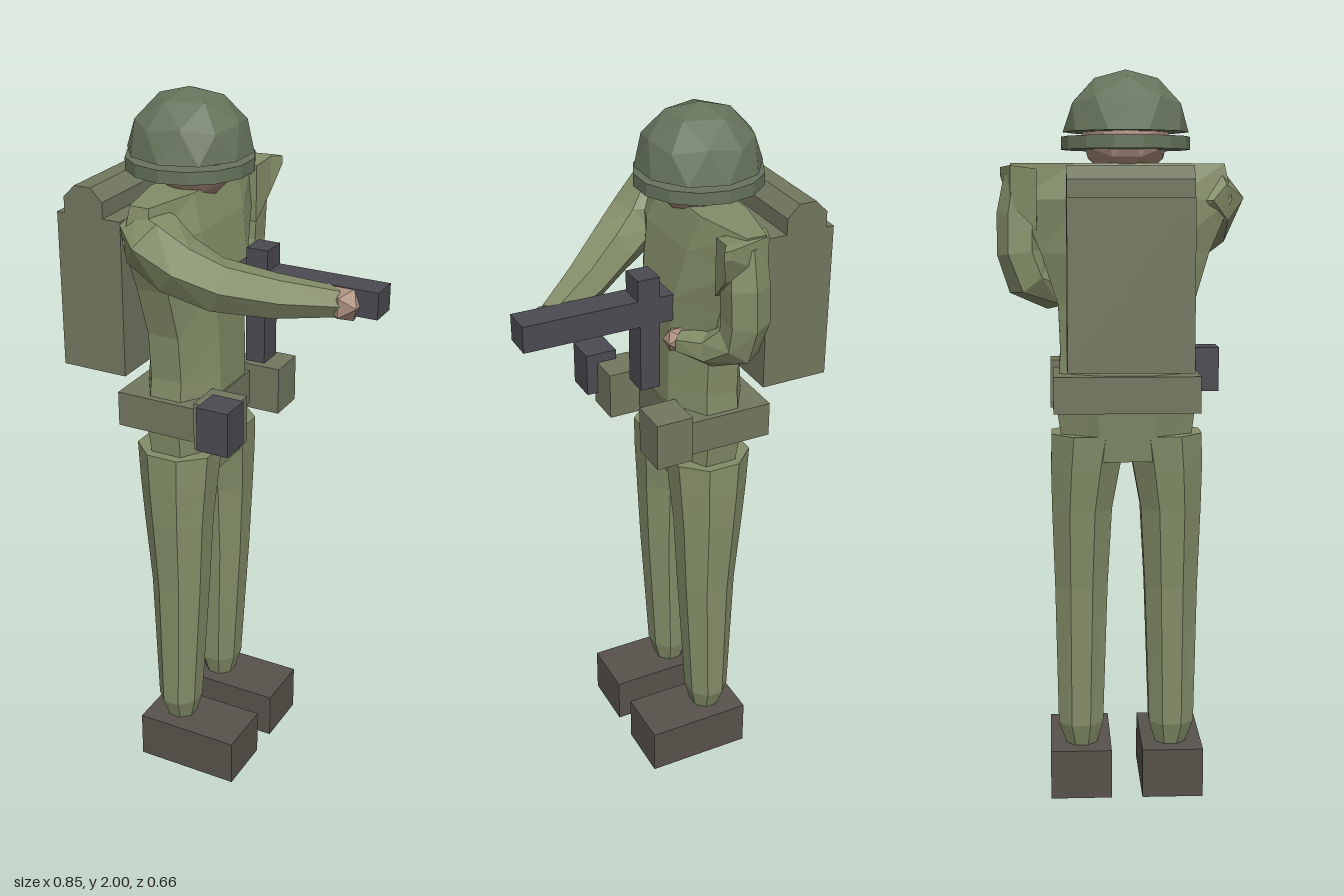
import * as THREE from 'three';

const V = (x, y, z) => new THREE.Vector3(x, y, z);
const mat = (color) => new THREE.MeshStandardMaterial({ color, flatShading: true });
const cloth = mat(0x838d68), canvas = mat(0x72775f), helmetGreen = mat(0x66735c);
const skin = mat(0xa98c7b), metal = mat(0x4b4a51), leather = mat(0x57524a);

// Skin a list of vertex rings, closing both ends
function loft(rings) {
  const n = rings[0].length, pos = [], idx = [];
  rings.forEach((r) => r.forEach((p) => pos.push(p.x, p.y, p.z)));
  for (let i = 0; i < rings.length - 1; i++) {
    for (let j = 0; j < n; j++) {
      const a = i * n + j, b = i * n + (j + 1) % n;
      idx.push(a, a + n, b, b, a + n, b + n);
    }
  }
  const top = (rings.length - 1) * n;
  for (let j = 1; j < n - 1; j++) {
    idx.push(0, j, j + 1, top, top + j + 1, top + j);
  }
  const g = new THREE.BufferGeometry();
  g.setAttribute('position', new THREE.Float32BufferAttribute(pos, 3));
  g.setIndex(idx);
  const flat = g.toNonIndexed();
  flat.computeVertexNormals();
  return flat;
}

// Octagonal ring about c spanned by u and v
function ring(c, u, v, n = 8) {
  return Array.from({ length: n }, (_, j) => {
    const a = ((j + 0.5) / n) * Math.PI * 2, k = 1 / Math.cos(Math.PI / n);
    return c.clone().addScaledVector(u, Math.cos(a) * k).addScaledVector(v, Math.sin(a) * k);
  });
}

// Upright body: rows of [y, xMin, xMax, zMin, zMax]
const upright = (rows) => loft(rows.map(([y, x0, x1, z0, z1]) =>
  ring(V((x0 + x1) / 2, y, (z0 + z1) / 2), V((x1 - x0) / 2, 0, 0), V(0, 0, (z1 - z0) / 2))));

// Limb along a path: rows of [x, y, z, radius]
function limb(rows, ref) {
  const pts = rows.map((r) => V(r[0], r[1], r[2]));
  return loft(pts.map((p, i) => {
    const t = pts[Math.min(i + 1, pts.length - 1)].clone().sub(pts[Math.max(i - 1, 0)]).normalize();
    const u = ref.clone().addScaledVector(t, -ref.dot(t)).normalize();
    const v = u.clone().cross(t);
    return ring(p, u.multiplyScalar(rows[i][3]), v.multiplyScalar(rows[i][3]), 6);
  }));
}

export function createModel() {
  const model = new THREE.Group();
  const add = (name, geo, material, x = 0, y = 0, z = 0) => {
    const m = new THREE.Mesh(geo, material);
    m.name = name;
    m.position.set(x, y, z);
    model.add(m);
    return m;
  };
  const box = (name, material, x0, x1, y0, y1, z0, z1) =>
    add(name, new THREE.BoxGeometry(x1 - x0, y1 - y0, z1 - z0), material,
      (x0 + x1) / 2, (y0 + y1) / 2, (z0 + z1) / 2);

  // Legs and boots, mirrored about the body's centre plane
  const mid = 0.02;
  for (const s of [1, -1]) {
    const side = s > 0 ? 'back' : 'front';
    const rows = [
      [0.13, -0.135, -0.055, 0.085, 0.165],
      [0.2, -0.155, -0.037, 0.065, 0.19],
      [0.6, -0.168, -0.012, 0.052, 0.198],
      [0.82, -0.188, -0.002, 0.04, 0.205],
      [0.93, -0.2, 0.005, 0.02, 0.207],
      [1.03, -0.21, 0.01, 0, 0.205],
    ].map(([y, x0, x1, a, b]) => [y, x0, x1, mid + (s > 0 ? a : -b), mid + (s > 0 ? b : -a)]);
    add(s > 0 ? 'nearLeg' : 'farLeg', upright(rows), cloth);
    const zc = mid + s * 0.128;
    box(side === 'back' ? 'nearBoot' : 'farBoot', leather, -0.185, 0.12, 0, 0.138, zc - 0.085, zc + 0.085);
  }

  // Torso flares from the waist into broad shoulders
  add('torso', upright([
    [0.96, -0.2, 0.002, -0.15, 0.19],
    [1.1, -0.22, 0.012, -0.17, 0.205],
    [1.25, -0.21, 0.01, -0.16, 0.19],
    [1.38, -0.21, 0.008, -0.165, 0.2],
    [1.52, -0.218, 0.005, -0.21, 0.24],
    [1.66, -0.21, -0.02, -0.27, 0.3],
    [1.755, -0.18, -0.05, -0.29, 0.28],
  ]), cloth);

  // Pointed fold at the far shoulder
  add('shoulderFold', loft([
    ring(V(-0.11, 1.66, -0.22), V(0, 0.08, 0), V(-0.07, 0, 0), 4),
    ring(V(-0.09, 1.70, -0.29), V(0, 0.05, 0), V(-0.06, 0, 0), 4),
    ring(V(-0.02, 1.735, -0.32), V(0, 0.012, 0), V(-0.01, 0, 0), 4),
  ].reverse()), cloth).material.side = THREE.DoubleSide;

  // Arms and hands
  add('nearArm', limb([
    [-0.15, 1.7, 0.23, 0.05],
    [-0.1, 1.665, 0.25, 0.075],
    [-0.03, 1.605, 0.24, 0.07],
    [0.06, 1.555, 0.2, 0.062],
    [0.18, 1.515, 0.11, 0.052],
    [0.31, 1.49, 0.015, 0.036],
  ], V(0, 1, 0)), cloth);
  add('farArm', limb([
    [-0.1, 1.72, -0.25, 0.05],
    [-0.1, 1.62, -0.265, 0.055],
    [-0.105, 1.52, -0.265, 0.055],
    [-0.1, 1.45, -0.245, 0.055],
    [-0.05, 1.41, -0.18, 0.042],
    [0, 1.41, -0.11, 0.028],
  ], V(1, 0, 0)), cloth);
  add('nearHand', new THREE.IcosahedronGeometry(0.052, 0), skin, 0.33, 1.485, 0.005);
  add('farHand', new THREE.IcosahedronGeometry(0.036, 0), skin, 0.005, 1.41, -0.095);

  // Head and helmet
  const hx = -0.113, hz = 0.018;
  add('head', new THREE.IcosahedronGeometry(0.118, 1), skin, -0.1, 1.83, hz);
  const dome = new THREE.IcosahedronGeometry(0.168, 1);
  dome.rotateZ(Math.atan(2 / (1 + Math.sqrt(5))));
  const p = dome.attributes.position;
  for (let i = 0; i < p.count; i++) p.setY(i, Math.max(0, p.getY(i)));
  dome.scale(1, 0.97, 1);
  dome.computeVertexNormals();
  add('helmetDome', dome, helmetGreen, hx, 1.837, hz);
  add('helmetBrim', new THREE.CylinderGeometry(0.172, 0.172, 0.034, 14), helmetGreen, hx, 1.808, hz);

  // Backpack with a bedroll strapped on top
  box('backpack', canvas, -0.43, -0.236, 1.228, 1.667, -0.144, 0.178);
  const roll = new THREE.CylinderGeometry(0.064, 0.064, 0.322, 8);
  roll.rotateY(Math.PI / 8).rotateX(Math.PI / 2);
  add('bedroll', roll, canvas, -0.348, 1.687, 0.017);

  // Belt, pouches and side case
  box('belt', canvas, -0.238, 0.015, 1.097, 1.196, -0.18, 0.214);
  box('nearPouch', canvas, 0, 0.105, 1.082, 1.217, 0.115, 0.222);
  box('farPouch', canvas, 0, 0.105, 1.082, 1.217, -0.187, -0.077);
  box('sideCase', metal, 0.047, 0.138, 1.12, 1.245, 0.2, 0.292);

  // Rifle
  box('rifleBody', metal, -0.238, 0.424, 1.456, 1.53, -0.074, 0.008);
  box('rifleMagazine', metal, 0.042, 0.098, 1.265, 1.47, -0.072, 0);
  box('rifleSight', metal, 0.042, 0.105, 1.52, 1.588, -0.074, 0);

  return model;
}
